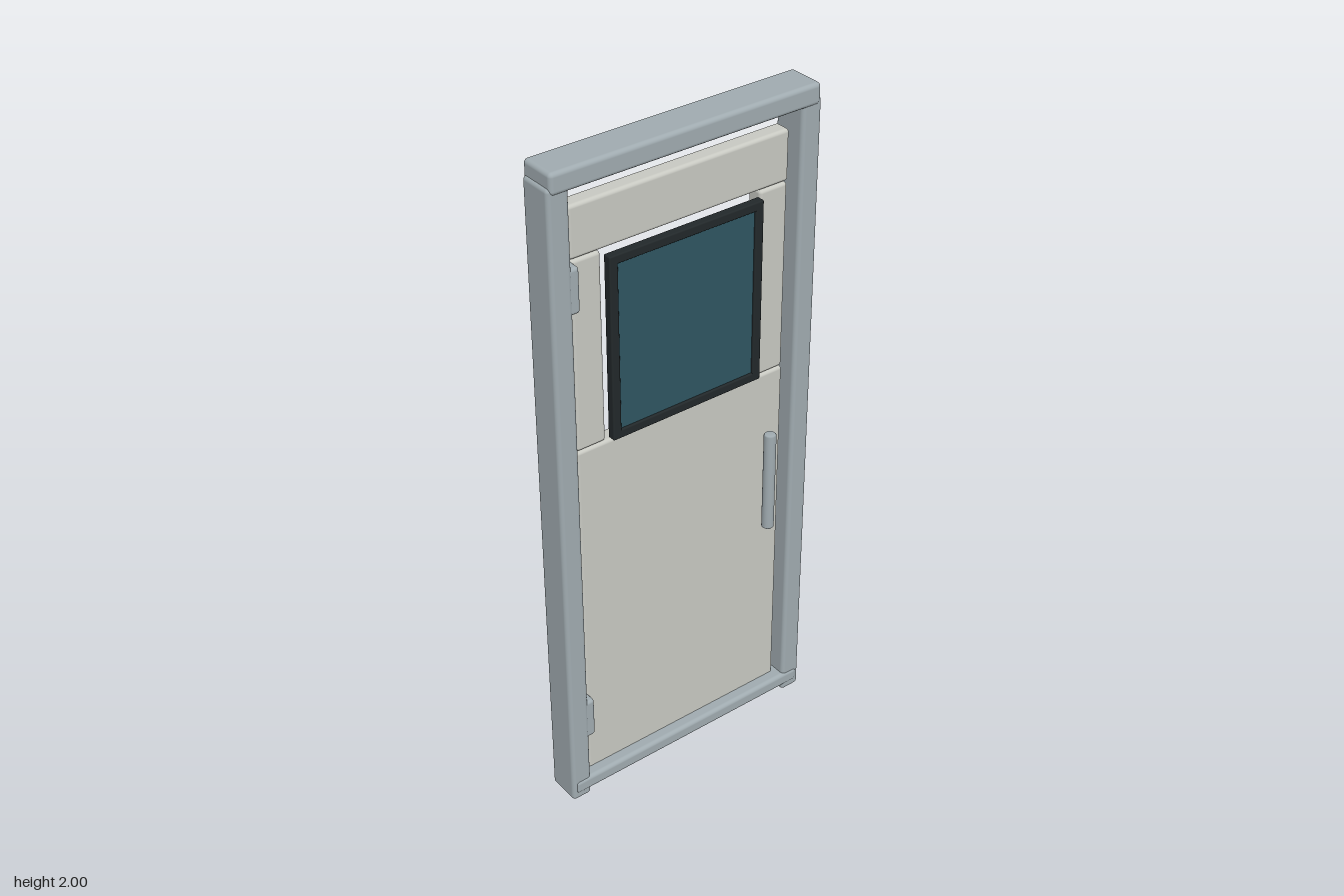
import * as THREE from 'three';
import { RoundedBoxGeometry } from 'three/addons/geometries/RoundedBoxGeometry.js';

const paint = (color) => new THREE.MeshStandardMaterial({ color });

export function createModel() {
  const group = new THREE.Group();
  const steel = paint(0xa0abb0);
  const door = paint(0xc8c9c2);
  const rubber = paint(0x22282a);
  const glass = paint(0x2f5561);

  // Rounded block given by its limits on each axis
  const block = (name, material, [x0, x1], [y0, y1], [z0, z1], radius) => {
    const geometry = new RoundedBoxGeometry(x1 - x0, y1 - y0, z1 - z0, 3, radius);
    const mesh = new THREE.Mesh(geometry, material);
    mesh.position.set((x0 + x1) / 2, (y0 + y1) / 2, (z0 + z1) / 2);
    mesh.name = name;
    group.add(mesh);
  };
  const mirrored = (x0, x1, side) => (side > 0 ? [x0, x1] : [-x1, -x0]);

  // Outer door frame
  const postZ = [-0.083, 0.022];
  const railZ = [-0.087, 0.026];
  block('header', steel, [-0.413, 0.413], [1.94, 2], railZ, 0.012);
  block('sill', steel, [-0.41, 0.41], [0.022, 0.067], railZ, 0.012);

  // Door leaf: lower panel and top rail
  const leafZ = [-0.06, -0.01];
  block('lowerPanel', door, [-0.343, 0.343], [0.05, 1.17], leafZ, 0.01);
  block('topRail', door, [-0.343, 0.343], [1.733, 1.88], leafZ, 0.01);

  for (const side of [1, -1]) {
    const label = side > 0 ? 'left' : 'right';
    block(label + 'Post', steel, mirrored(0.357, 0.42, side), [0, 1.96], postZ, 0.012);
    block(label + 'Stile', door, mirrored(0.25, 0.341, side), [1.172, 1.731], leafZ, 0.01);
    block(label + 'WindowTrim', rubber, mirrored(0.217, 0.243, side), [1.18, 1.72], [-0.01, 0.015], 0.004);
  }

  // Window
  block('upperWindowTrim', rubber, [-0.243, 0.243], [1.694, 1.72], [-0.01, 0.015], 0.004);
  block('lowerWindowTrim', rubber, [-0.243, 0.243], [1.18, 1.206], [-0.01, 0.015], 0.004);
  block('windowGlass', glass, [-0.22, 0.22], [1.203, 1.697], [-0.004, 0.008], 0.002);

  // Hinges on the right post
  for (const y of [0.215, 1.6]) {
    block('hinge', steel, [-0.372, -0.334], [y, y + 0.13], [-0.025, 0.02], 0.01);
  }

  // Upright pull handle, slightly bevelled at both ends
  const r = 0.0175;
  const h = 0.157;
  const profile = [[0, -h], [r - 0.003, -h], [r, -h + 0.003], [r, h - 0.003], [r - 0.003, h], [0, h]];
  const handle = new THREE.Mesh(
    new THREE.LatheGeometry(profile.map(([x, y]) => new THREE.Vector2(x, y)), 24), steel);
  handle.position.set(0.24, 0.872, 0.068);
  handle.name = 'handle';
  group.add(handle);

  return group;
}
